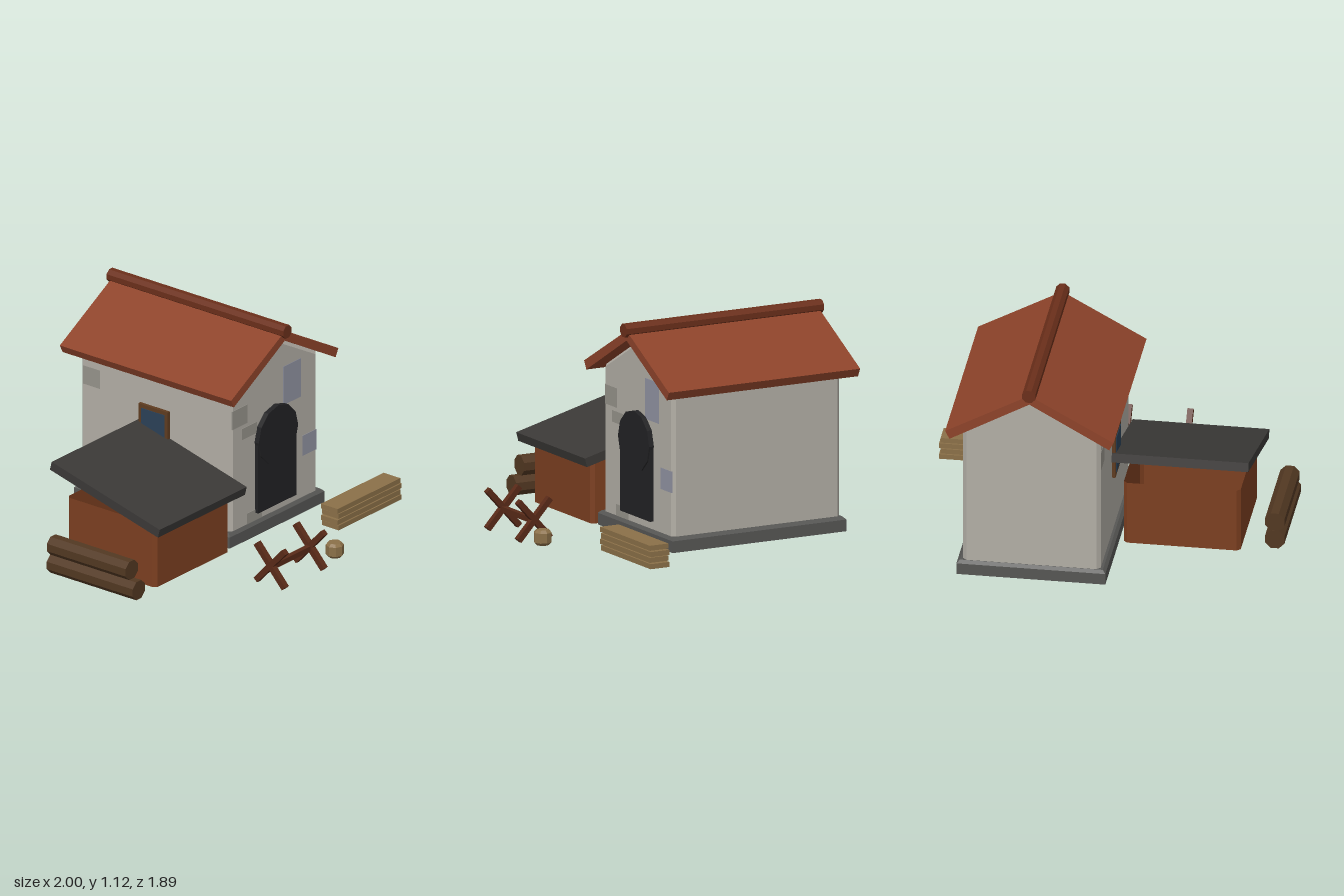
import * as THREE from 'three';

const mat = (color, side = THREE.FrontSide) =>
  new THREE.MeshStandardMaterial({ color, flatShading: true, side });

const M = {
  wall: mat(0xb2aea5), stone: mat(0x96938b), blueStone: mat(0x9193a2),
  base: mat(0x565654), roof: mat(0x8d432a), ridge: mat(0x6b2f1a),
  dark: mat(0x222224), slate: mat(0x3b3937), shed: mat(0x7c3f20, THREE.DoubleSide),
  frame: mat(0x5f3c20), glass: mat(0x2b4157), log: mat(0x523822),
  plank: mat(0x8b7048), leg: mat(0x592a18), stump: mat(0x8b7048),
};

function add(parent, name, geometry, material, x = 0, y = 0, z = 0) {
  const mesh = new THREE.Mesh(geometry, material);
  mesh.name = name;
  mesh.position.set(x, y, z);
  parent.add(mesh);
  return mesh;
}

const box = (w, h, d) => new THREE.BoxGeometry(w, h, d);

// Outline extruded along z, centred, with an optional chamfer added outside it
function prism(points, depth, bevel = 0) {
  const shape = new THREE.Shape(points.map(([x, y]) => new THREE.Vector2(x, y)));
  return new THREE.ExtrudeGeometry(shape, {
    depth: depth - 2 * bevel, bevelEnabled: bevel > 0, bevelSegments: 1,
    bevelSize: bevel, bevelThickness: bevel,
  }).translate(0, 0, -depth / 2 + bevel);
}

function buildHouse(yard) {
  const house = new THREE.Group();
  house.name = 'house';
  yard.add(house);

  // Stone footing with a chamfered top edge
  const footing = box(0.755, 0.077, 1.004, 1, 2, 1);
  add(house, 'footing', box(0.755, 0.06, 1.004), M.base, 0, 0.041, 0);
  const rim = box(0.755, 0.015, 1.004);
  const p = rim.attributes.position;
  for (let i = 0; i < p.count; i++) {
    if (p.getY(i) > 0) p.setXYZ(i, p.getX(i) * 0.96, p.getY(i), p.getZ(i) * 0.97);
  }
  add(house, 'footingRim', rim, M.base, 0, 0.0785, 0);
  footing.dispose();

  // Gabled walls with chamfered corners
  const [hw, b] = [0.349, 0.019];
  add(house, 'walls', prism([
    [b - hw, 0.07], [hw - b, 0.07], [hw - b, 0.83], [0, 1.013], [b - hw, 0.83],
  ], 0.969, b), M.wall);

  // Roof: one folded slab plus an eight-sided ridge cap
  add(house, 'roof', prism([
    [0, 1.085], [-0.427, 0.85], [-0.405, 0.807],
    [0, 1.035], [0.405, 0.807], [0.427, 0.85],
  ], 1.105), M.roof);
  const cap = new THREE.CylinderGeometry(0.036, 0.036, 1.14, 8).rotateY(Math.PI / 8);
  add(house, 'ridgeCap', cap.rotateX(Math.PI / 2), M.ridge, 0, 1.088, 0);

  // Arched door: a panel and a round head
  add(house, 'doorPanel', box(0.305, 0.385, 0.05), M.dark, 0, 0.32, 0.479);
  const head = new THREE.CylinderGeometry(0.157, 0.157, 0.06, 12);
  add(house, 'doorArch', head.rotateX(Math.PI / 2), M.dark, 0, 0.514, 0.482);

  // Nearly flush wall stones on the front: x, y, width, height, material
  [
    [0.14, 0.745, 0.14, 0.21, M.blueStone], [0.28, 0.365, 0.11, 0.11, M.blueStone],
    [-0.275, 0.69, 0.12, 0.1, M.stone], [-0.2, 0.59, 0.12, 0.06, M.stone],
    [-0.16, 0.11, 0.12, 0.07, M.stone],
  ].forEach(([x, y, w, h, m]) => add(house, 'wallStone', box(w, h, 0.01), m, x, y, 0.481));
  add(house, 'wallStone', box(0.01, 0.1, 0.11), M.stone, -0.3455, 0.69, -0.41);

  // Side window
  add(house, 'windowFrame', box(0.04, 0.24, 0.19), M.frame, -0.347, 0.52, 0);
  add(house, 'windowGlass', box(0.044, 0.2, 0.15), M.glass, -0.348, 0.52, 0);
}

function buildShed(yard) {
  const shed = new THREE.Group();
  shed.name = 'shed';
  shed.position.set(-0.697, 0, 0.236);
  yard.add(shed);

  // Hollow walls, open above and below, with slightly cut corners
  const [hx, hz, c] = [0.296, 0.286, 0.018];
  const ring = [
    [hx - c, hz], [hx, hz - c], [hx, c - hz], [hx - c, -hz],
    [c - hx, -hz], [-hx, c - hz], [-hx, hz - c], [c - hx, hz],
  ];
  const pos = [];
  const index = [];
  ring.forEach(([x, z], i) => {
    pos.push(x, 0.011, z, x, 0.352, z);
    const a = 2 * i, n = 2 * ((i + 1) % ring.length);
    index.push(a, n + 1, n, a, a + 1, n + 1);
  });
  const walls = new THREE.BufferGeometry();
  walls.setAttribute('position', new THREE.Float32BufferAttribute(pos, 3));
  walls.setIndex(index);
  walls.computeVertexNormals();
  add(shed, 'shedWalls', walls, M.shed);

  // Lean-to roof sloping down to the front
  add(shed, 'shedRoof', box(0.693, 0.047, 0.72), M.slate, 0, 0.432, 0.001).rotation.x = 0.254;
}

function buildYardItems(yard) {
  // Two stacked logs
  [[0.064, 0.274, 0.555], [0.162, 0.252, 0.508]].forEach(([y, z, len]) => {
    const log = new THREE.CylinderGeometry(0.053, 0.053, len, 8).rotateY(Math.PI / 8);
    add(yard, 'log', log.rotateX(Math.PI / 2), M.log, -1.161, y, z);
  });

  // Stack of four boards
  for (let i = 0; i < 4; i++) {
    add(yard, 'board', box(0.5, 0.026, 0.108), M.plank,
      0.39 + (i % 2 ? -0.004 : 0.004), 0.025 + i * 0.031, 0.729);
  }

  // Sawhorse: two crossed pairs of legs joined by a bar
  const horse = new THREE.Group();
  horse.name = 'sawhorse';
  horse.position.set(-0.424, 0.107, 0.934);
  yard.add(horse);
  for (const side of [-1, 1]) {
    for (const tilt of [-1, 1]) {
      const leg = add(horse, 'sawhorseLeg', box(0.03, 0.27, 0.03), M.leg, side * 0.155, 0, 0);
      leg.rotation.x = tilt * 0.74;
    }
  }
  add(horse, 'sawhorseBar', box(0.32, 0.028, 0.028), M.leg, 0, -0.006, 0);

  // Short chopping stump with cut edges
  const profile = [[0, 0], [0.033, 0], [0.046, 0.014], [0.046, 0.064], [0.033, 0.078], [0, 0.078]]
    .map(([r, y]) => new THREE.Vector2(r, y));
  add(yard, 'stump', new THREE.LatheGeometry(profile, 8), M.stump, -0.117, 0.011, 0.97);
}

export function createModel() {
  const model = new THREE.Group();
  model.name = 'cottageYard';
  // Everything shares one frame, turned 30 degrees
  const yard = new THREE.Group();
  yard.name = 'yard';
  yard.position.set(0.053, 0, -0.255);
  yard.rotation.y = Math.PI / 6;
  model.add(yard);
  buildHouse(yard);
  buildShed(yard);
  buildYardItems(yard);
  return model;
}
